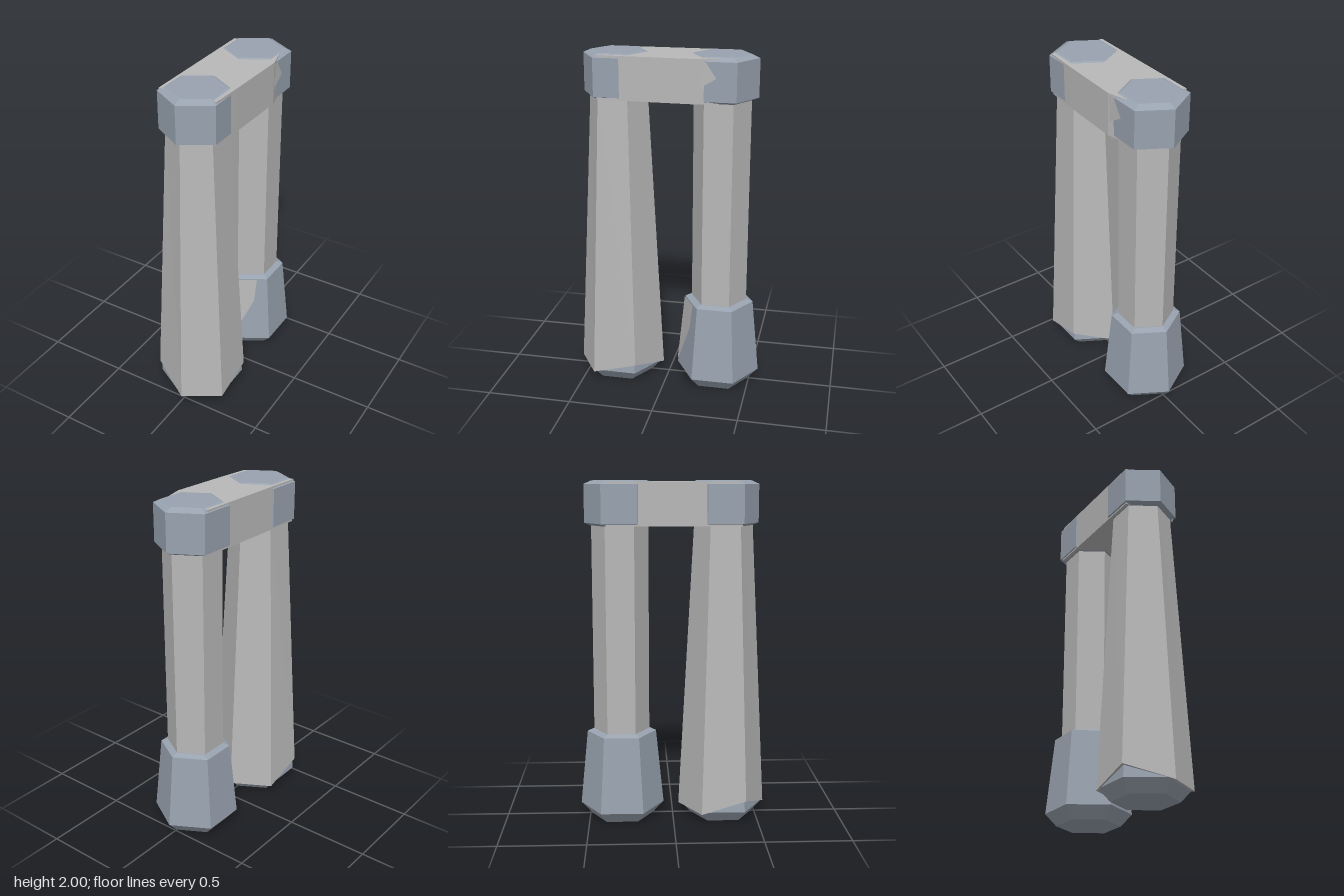
import * as THREE from 'three';

const grey = new THREE.MeshStandardMaterial({ color: 0xb8b8b8 });
grey.name = 'stone grey';
const slate = new THREE.MeshStandardMaterial({ color: 0x98a2af });
slate.name = 'slate blue';

const FRONT = 0.295, BACK = -0.305;

// Faceted mesh: every face keeps its own normal
function part(name, geometry, material) {
  const flat = geometry.index ? geometry.toNonIndexed() : geometry;
  flat.computeVertexNormals();
  const mesh = new THREE.Mesh(flat, material);
  mesh.name = name;
  return mesh;
}

// Six-sided column from [radius, height] pairs, with a corner towards +z
function hexColumn(profile, z) {
  const geometry = new THREE.LatheGeometry(profile.map(([r, y]) => new THREE.Vector2(r, y)), 6);
  return geometry.translate(0, 0, z);
}

// Flat convex face from a few corners, as a fan
function fan(corners) {
  const pos = [];
  for (let i = 1; i < corners.length - 1; i++) pos.push(...corners[0], ...corners[i], ...corners[i + 1]);
  const geometry = new THREE.BufferGeometry();
  geometry.setAttribute('position', new THREE.Float32BufferAttribute(pos, 3));
  return geometry;
}

export function createModel() {
  const model = new THREE.Group();
  model.name = 'archway';

  const foot = [[0, 0], [0.185, 0], [0.25, 0.07], [0.205, 0.52], [0.17, 0.535], [0, 0.535]];
  const cap = [[0, 1.745], [0.17, 1.745], [0.205, 1.76], [0.205, 1.98], [0.16, 2], [0, 2]];
  for (const [side, z] of [['front', FRONT], ['back', BACK]]) {
    model.add(part(side + 'Foot', hexColumn(foot, z), slate));
    model.add(part(side + 'Cap', hexColumn(cap, z), slate));
  }

  // Straight back leg
  model.add(part('backLeg', hexColumn([[0.165, 0.5], [0.165, 1.76]], BACK), grey));

  // Tapered front leg with two chipped bottom corners
  const leg = hexColumn([[0, 0.06], [0.26, 0.06], [0.17, 1.76]], FRONT);
  const p = leg.attributes.position;
  for (let i = 0; i < p.count; i++) {
    const x = p.getX(i), z = p.getZ(i) - FRONT;
    if (p.getY(i) > 0.1 || Math.hypot(x, z) < 0.1) continue;
    if (Math.abs(x) < 0.01 && z > 0) p.setX(i, 0.015);
    if (x < -0.1 && z > 0) p.setY(i, 0.14);
    if (x > 0.1 && z < 0) p.setY(i, 0.13);
  }
  model.add(part('frontLeg', leg, grey));

  // Crossbeam: slightly irregular plan, extruded upwards
  const plan = [[-0.17, 0.39], [-0.172, -0.38], [0.1, -0.3], [0.14, -0.36], [0.188, -0.19], [0.18, 0.19], [0.172, 0.38]];
  const shape = new THREE.Shape(plan.map(([x, z]) => new THREE.Vector2(x, -z)));
  const beam = new THREE.ExtrudeGeometry(shape, { depth: 0.247, bevelEnabled: false });
  beam.rotateX(-Math.PI / 2).translate(0, 1.747, 0);
  model.add(part('crossbeam', beam, grey));

  // Worn patch on the back cap
  const chip = fan([[0.186, 1.83, -0.195], [0.182, 1.89, -0.295], [0.182, 1.98, -0.235], [0.186, 1.98, -0.195]]);
  model.add(part('capChip', chip, grey));

  // Worn patch on the front-left face of the back foot; u runs across the face
  const onFoot = ([u, y]) => {
    const r = 0.25 - 0.1 * (y - 0.07) + 0.004;
    return [u * r * Math.sin(Math.PI / 3), y, BACK + r * (1 - u / 2)];
  };
  const wear = fan([[0, 0.1], [0.05, 0.1], [0.6, 0.36], [0.68, 0.515], [0, 0.515]].map(onFoot));
  model.add(part('footWear', wear, grey));

  return model;
}
